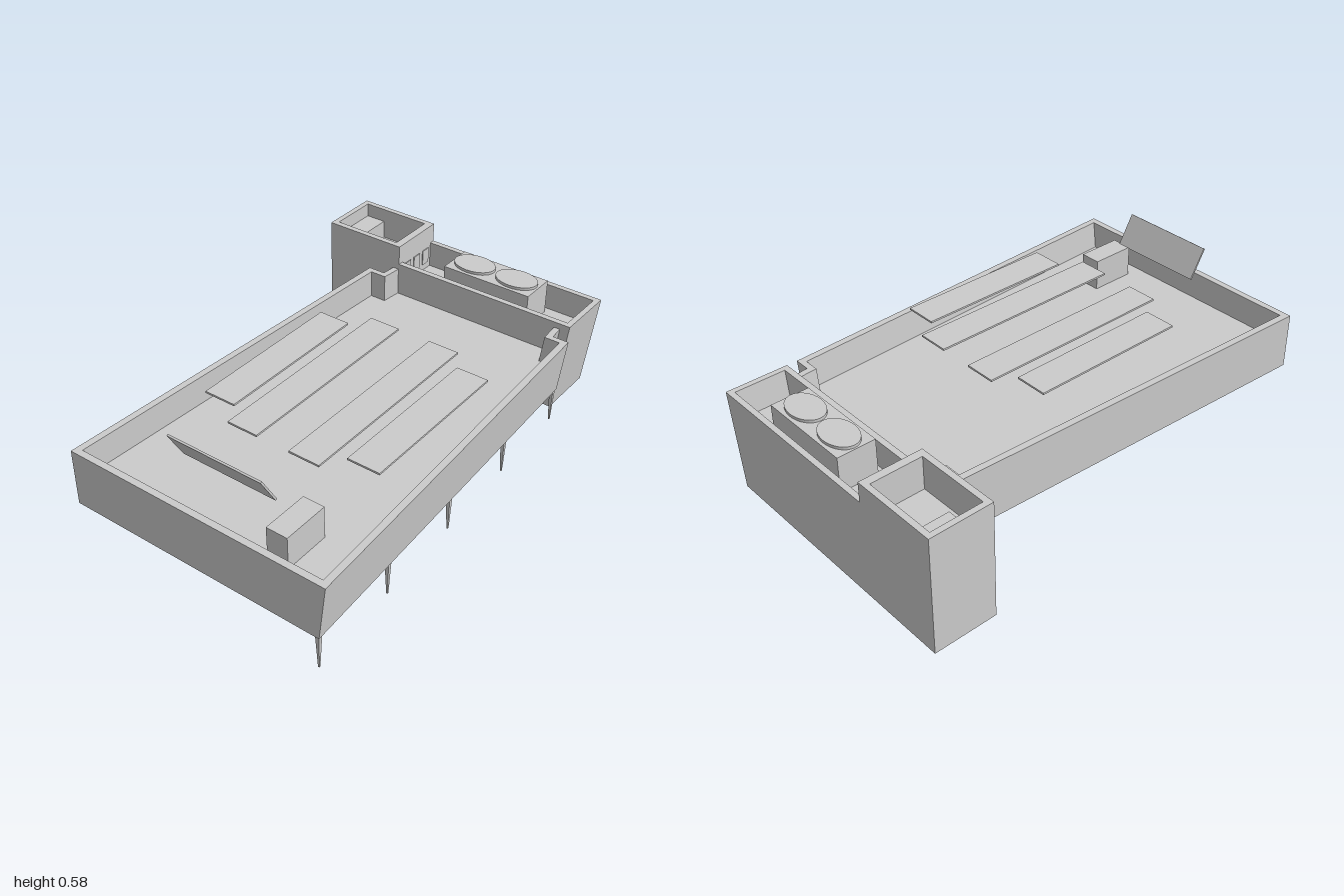
import * as THREE from 'three';

const material = new THREE.MeshStandardMaterial({ color: 0xcccccc, flatShading: true, side: THREE.DoubleSide });

export function createModel() {
  const model = new THREE.Group();

  const add = (name, geometry, x = 0, y = 0, z = 0) => {
    const mesh = new THREE.Mesh(geometry, material);
    mesh.name = name;
    mesh.position.set(x, y, z);
    model.add(mesh);
    return mesh;
  };

  // Box given by its limits on each axis
  const block = (name, x0, x1, y0, y1, z0, z1) =>
    add(name, new THREE.BoxGeometry(x1 - x0, y1 - y0, z1 - z0), (x0 + x1) / 2, (y0 + y1) / 2, (z0 + z1) / 2);

  // Plan outline in x and z raised from y0 to y1; the front leans outward towards leanTop
  const prism = (name, outline, y0, y1, leanTop, hole) => {
    const shape = new THREE.Shape(outline.map(p => new THREE.Vector2(...p)));
    if (hole) shape.holes.push(new THREE.Path(hole.map(p => new THREE.Vector2(...p))));
    const geometry = new THREE.ExtrudeGeometry(shape, { depth: y1 - y0, bevelEnabled: false });
    geometry.rotateX(Math.PI / 2).translate(0, y1, 0);
    const pos = geometry.attributes.position;
    for (let i = 0; i < pos.count; i++) {
      if (pos.getZ(i) > 0.2) pos.setZ(i, pos.getZ(i) - 0.122 * (leanTop - pos.getY(i)));
    }
    geometry.computeVertexNormals();
    return add(name, geometry);
  };

  const rect = (x0, x1, z0, z1) => [[x0, z0], [x1, z0], [x1, z1], [x0, z1]];

  // Tapered deck: parapet open towards the tower, and a recessed floor
  const outer = [[0.735, -0.32], [0.672, -0.325], [0.672, -0.40], [-1, -0.48],
    [-1, 0.66], [0.672, 0.58], [0.672, 0.51], [0.735, 0.505]];
  const inner = [[0.735, -0.293], [0.647, -0.302], [0.647, -0.373], [-0.972, -0.45],
    [-0.972, 0.63], [0.647, 0.552], [0.647, 0.485], [0.735, 0.478]];
  prism('deckWalls', [...outer, ...inner.slice().reverse()], 0.15, 0.39, 0.39);
  prism('deckFloor', inner, 0.26, 0.27, 0.39);

  // Pointed legs under the front edge
  for (let i = 0; i < 5; i++) {
    const x = -0.985 + i * 0.411;
    const geometry = new THREE.CylinderGeometry(0.012, 0.004, 0.15, 4).rotateY(Math.PI / 4);
    add('leg', geometry, x, 0.075, 0.617 - 0.048 * (x + 0.985));
  }

  // Raised flat panels over the deck
  for (const [x0, x1, z0, z1] of [[-0.51, 0.175, -0.28, -0.142], [-0.6, 0.262, -0.092, 0.042],
    [-0.6, 0.262, 0.187, 0.32], [-0.51, 0.175, 0.373, 0.51]]) {
    block('roofPanel', x0, x1, 0.448, 0.456, z0, z1);
  }

  // Tilted board and small cabin on the deck
  const board = add('tiltedBoard', new THREE.BoxGeometry(0.008, 0.138, 0.412), -0.86, 0.518, 0.115);
  board.rotation.z = Math.atan2(0.07, 0.12);
  block('cabin', -0.905, -0.71, 0.27, 0.405, 0.34, 0.43);

  // High part of the tower, open at top and bottom around a floor
  prism('highTower', rect(0.735, 1, -0.66, -0.29), 0, 0.5, 0.5, rect(0.76, 0.976, -0.636, -0.324));
  block('highTowerFloor', 0.76, 0.976, 0.35, 0.36, -0.636, -0.324);
  block('towerHatch', 0.828, 0.976, 0.36, 0.44, -0.636, -0.545);

  // Low part of the tower with a leaning front
  prism('lowTower', [[0.735, -0.29], [0.735, 0.548], [1, 0.548], [1, -0.29],
    [0.976, -0.29], [0.976, 0.524], [0.76, 0.524], [0.76, -0.29]], 0, 0.415, 0.415);
  prism('lowTowerFloor', rect(0.76, 0.976, -0.29, 0.524), 0.29, 0.3, 0.415);

  // Small panels on the step between the two parts
  for (const x of [0.8, 0.868, 0.936]) block('stepPanel', x - 0.022, x + 0.022, 0.33, 0.40, -0.29, -0.286);

  // Cooling unit with two oval fans
  block('coolingUnit', 0.785, 0.946, 0.3, 0.452, -0.09, 0.322);
  for (const z of [0.012, 0.218]) {
    add('fan', new THREE.CylinderGeometry(1, 1, 0.012, 32).scale(0.067, 1, 0.095), 0.866, 0.458, z);
  }

  return model;
}
